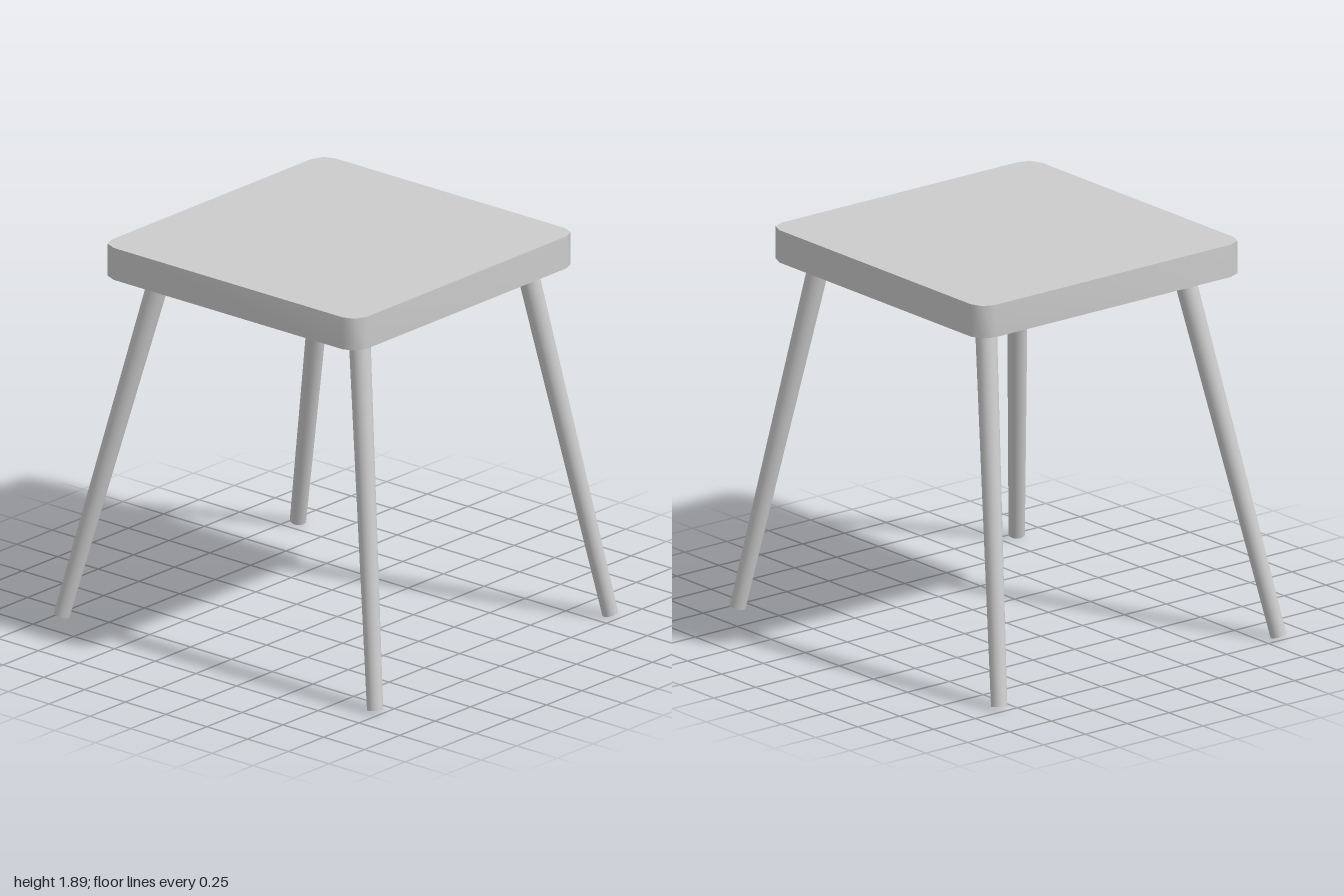
import * as THREE from 'three';
import { toCreasedNormals } from 'three/addons/utils/BufferGeometryUtils.js';

const material = new THREE.MeshStandardMaterial({ color: 0xcccccc });

// Square slab with corners rounded in two facets
function createSeat() {
  const [x0, x1, z0, z1, r] = [-0.81, 0.76, -0.75, 0.815, 0.08];
  const corners = [
    [x1 - r, z1 - r], [x0 + r, z1 - r], [x0 + r, z0 + r], [x1 - r, z0 + r],
  ];
  const points = corners.flatMap(([cx, cz], i) => [0, 1, 2].map((k) => {
    const a = (i + k / 2) * Math.PI / 2;
    return new THREE.Vector2(cx + r * Math.cos(a), -(cz + r * Math.sin(a)));
  }));
  const geometry = new THREE.ExtrudeGeometry(new THREE.Shape(points), {
    depth: 0.158, bevelEnabled: false,
  });
  geometry.rotateX(-Math.PI / 2);
  geometry.translate(0, 1.73, 0);
  const seat = new THREE.Mesh(toCreasedNormals(geometry, Math.PI / 3), material);
  seat.name = 'seat';
  return seat;
}

// Tapered round leg from its foot to the underside of the seat
function createLeg(name, foot, top) {
  const axis = top.clone().sub(foot);
  const leg = new THREE.Mesh(
    new THREE.CylinderGeometry(0.051, 0.038, axis.length(), 20), material);
  leg.position.copy(foot).addScaledVector(axis, 0.5);
  leg.quaternion.setFromUnitVectors(new THREE.Vector3(0, 1, 0), axis.normalize());
  leg.name = name;
  return leg;
}

export function createModel() {
  const group = new THREE.Group();
  group.name = 'stool';
  group.add(createSeat());

  // Splayed legs: foot x, foot z, top x, top z
  const legs = {
    frontLeftLeg: [0.837, 0.948, 0.583, 0.648],
    frontRightLeg: [-0.84, 0.96, -0.592, 0.648],
    backLeftLeg: [0.822, -0.955, 0.583, -0.563],
    backRightLeg: [-0.84, -0.963, -0.592, -0.563],
  };
  for (const [name, [fx, fz, tx, tz]] of Object.entries(legs)) {
    group.add(createLeg(name,
      new THREE.Vector3(fx, 0.01, fz), new THREE.Vector3(tx, 1.745, tz)));
  }
  return group;
}
